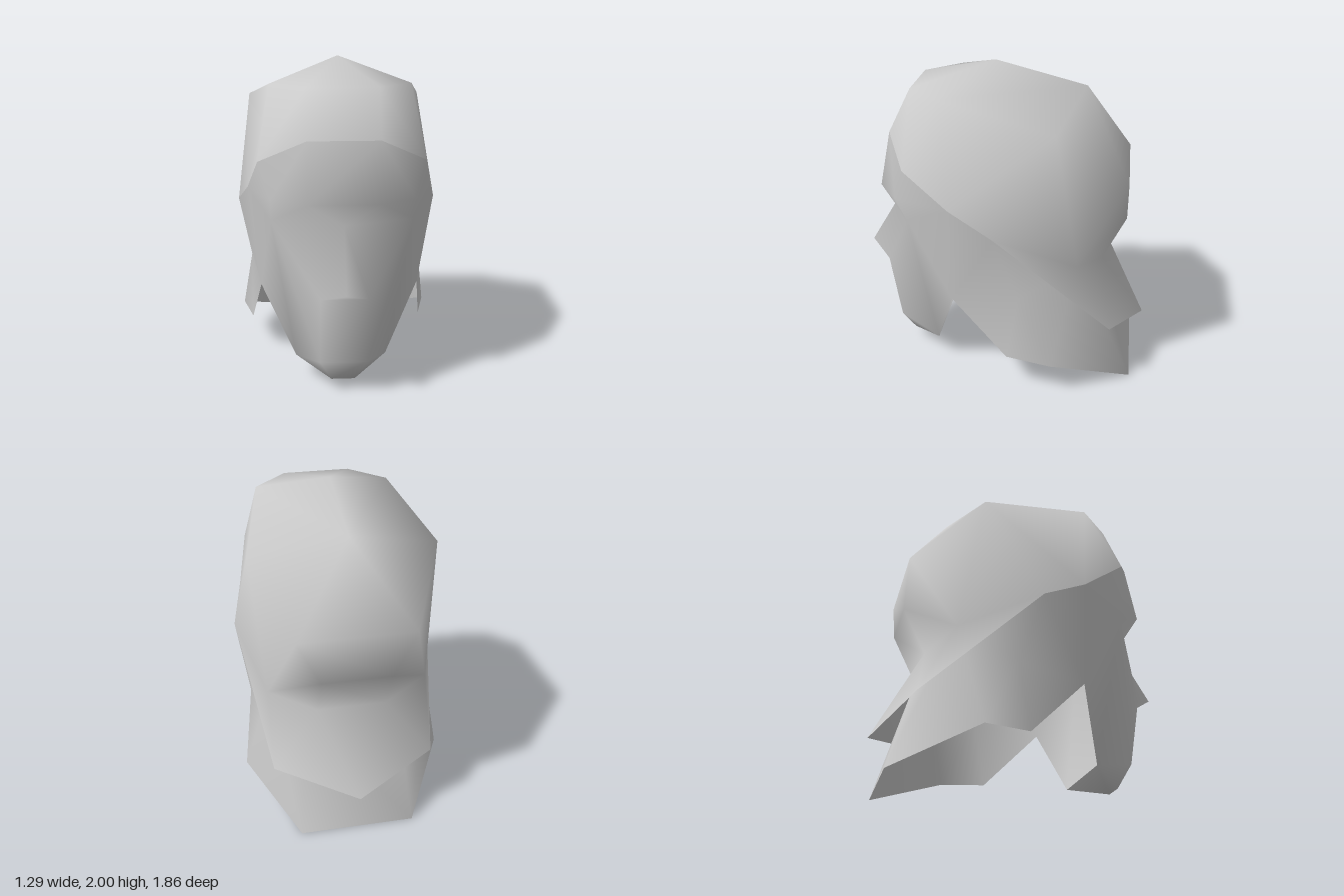
import * as THREE from 'three';

const UNIT = 1 / 14; // modelling grid step
const CORE = new THREE.Vector3(0, 13, 0); // inside point used to orient faces

// Points of the left half; an upper-case key in a face means the mirrored point.
const hairPoints = {
  t: [0, 28, 1], d: [0, 26, -7], a: [3, 26, 8], b: [6, 26, 5], c: [8, 24, -5],
  g: [3, 22, 10], h: [7, 20, 8], i: [8, 17, 4], j: [9, 15, 0],
  k: [5, 19, -11], l: [3, 15, -11], m: [3, 11, -9], n: [7, 12, -7],
  o: [7, 6, -10], p: [0, 4, -13],
};
const hairFaces = [
  'taA', 'tab', 'tbd', 'bcd', 'dck', 'dkK', // crown
  'aAGg', 'aghb', // forehead
  'bhi', 'bic', 'cij', // sides
  'cjn', 'cnk', 'knl', 'lmn', 'kKLl', 'lLMm', // back
  'jno', 'nmo', 'mpo', 'mMp', // flared lower edge
];

const facePoints = {
  g: [3, 22, 10], h: [7, 20, 8], i: [8, 17, 4], j: [9, 15, 0],
  a: [3, 17, 11], b: [6, 17, 9], c: [0, 15, 10], d: [6, 15, 8],
  e: [2, 9, 11], t: [0, 10, 13], f: [2, 3, 10], k: [1, 1, 9], l: [4, 2, 6],
  m: [7, 8, 4], n: [8, 9, -2], o: [8, 3, -1], p: [9, 3, -5],
  q: [5, 0, -12], r: [4, 10, -9], s: [7, 12, -7],
};
const faceFaces = [
  'gGAa', 'gabh', 'aAc', 'acdb', // brow
  'cet', 'eEt', // nose
  'ced', 'def', 'dfl', 'dlm', 'eEFf', // cheeks and mouth
  'fFKk', 'fkl', 'kKLl', // chin
  'hbi', 'bdi', 'dmi', 'imj', 'mnj', 'mon', // temples and jaw
  'nop', 'jns', 'nps', 'spq', 'sqr', 'rqQR', // neck
];

// Smooth mirrored shell from half-model points and fan-triangulated faces
function mirroredShell(name, points, faces, material) {
  const positions = [];
  const index = {};
  for (const [key, [x, y, z]] of Object.entries(points)) {
    index[key] = index[key.toUpperCase()] = positions.length;
    positions.push(new THREE.Vector3(x, y, z));
    if (x !== 0) {
      index[key.toUpperCase()] = positions.length;
      positions.push(new THREE.Vector3(-x, y, z));
    }
  }
  const triangles = [];
  const addFace = (ids) => {
    for (let i = 1; i < ids.length - 1; i++) {
      const tri = [ids[0], ids[i], ids[i + 1]];
      const [u, v, w] = tri.map((n) => positions[n]);
      const normal = v.clone().sub(u).cross(w.clone().sub(u));
      const centre = u.clone().add(v).add(w).divideScalar(3).sub(CORE);
      if (normal.dot(centre) < 0) tri.reverse();
      triangles.push(...tri);
    }
  };
  const swapCase = (k) => (k === k.toLowerCase() ? k.toUpperCase() : k.toLowerCase());
  for (const face of faces) {
    const ids = [...face].map((k) => index[k]);
    const mirrored = [...face].map((k) => index[swapCase(k)]);
    addFace(ids);
    if (!mirrored.every((n) => ids.includes(n))) addFace(mirrored);
  }
  const geometry = new THREE.BufferGeometry().setFromPoints(positions);
  geometry.setIndex(triangles);
  geometry.scale(UNIT, UNIT, UNIT);
  geometry.computeVertexNormals();
  const mesh = new THREE.Mesh(geometry, material);
  mesh.name = name;
  return mesh;
}

export function createModel() {
  const grey = new THREE.MeshStandardMaterial({ color: 0xcccccc, side: THREE.DoubleSide });
  grey.name = 'plain grey';
  const group = new THREE.Group();
  group.name = 'head';
  group.add(
    mirroredShell('hair', hairPoints, hairFaces, grey),
    mirroredShell('faceAndNeck', facePoints, faceFaces, grey),
  );
  return group;
}
